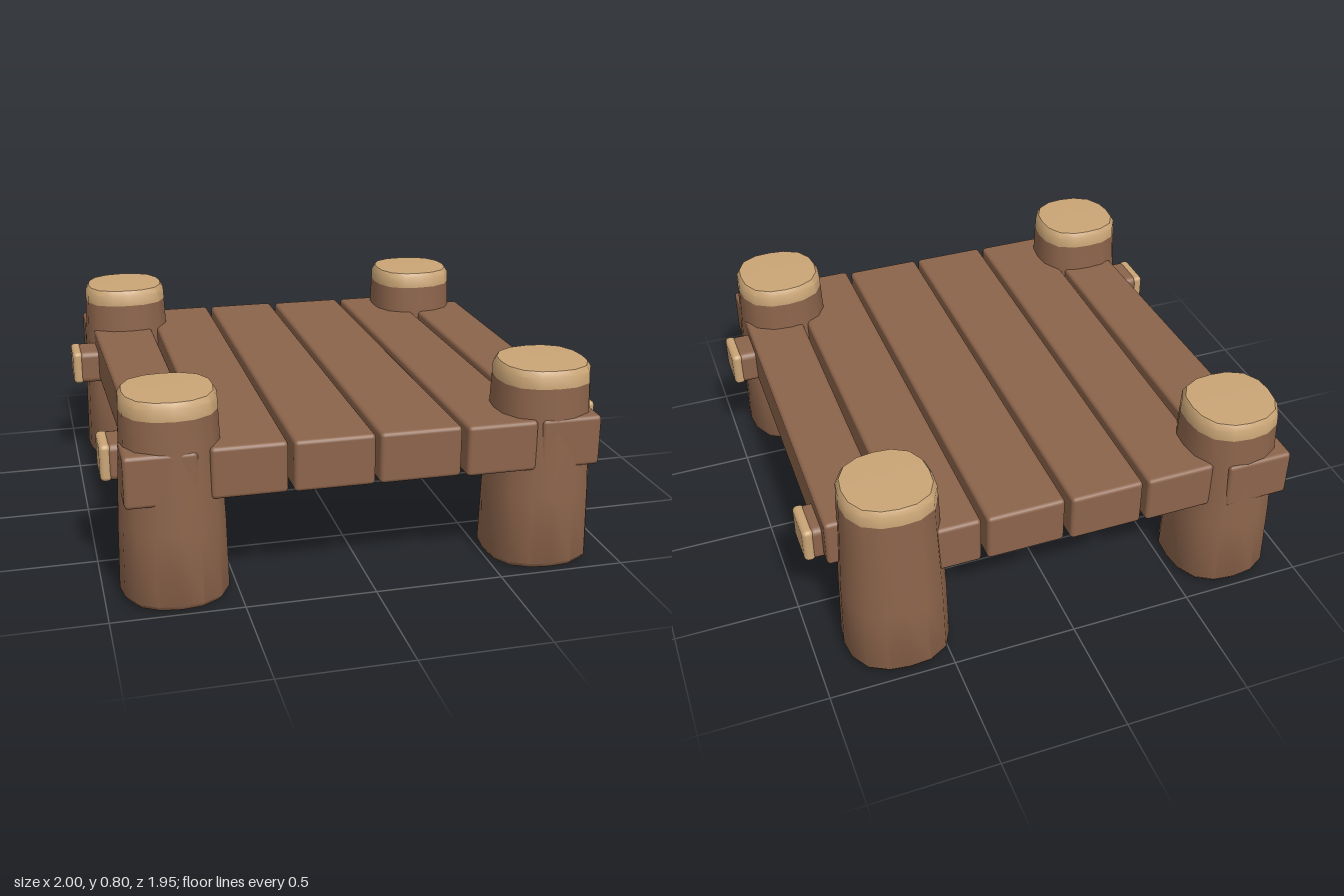
import * as THREE from 'three';
import { toCreasedNormals } from 'three/addons/utils/BufferGeometryUtils.js';
import { RoundedBoxGeometry } from 'three/addons/geometries/RoundedBoxGeometry.js';

const bark = new THREE.MeshStandardMaterial({ color: 0x8c644b });
bark.name = 'brown wood';
const cutWood = new THREE.MeshStandardMaterial({ color: 0xcaa576 });
cutWood.name = 'pale cut wood';

function addMesh(parent, name, geometry, material) {
  const mesh = new THREE.Mesh(geometry, material);
  mesh.name = name;
  parent.add(mesh);
  return mesh;
}

// Lathed log section pushed slightly towards a square, with a hewn wobble
function logGeometry(profile, seed) {
  const g = new THREE.LatheGeometry(profile.map(([r, y]) => new THREE.Vector2(r, y)), 16);
  const p = g.attributes.position;
  for (let i = 0; i < p.count; i++) {
    const x = p.getX(i), z = p.getZ(i);
    const a = Math.atan2(z, x);
    const k = 1 - 0.035 * Math.cos(4 * a) + 0.012 * Math.sin(3 * a + seed);
    p.setX(i, x * k);
    p.setZ(i, z * k);
  }
  return toCreasedNormals(g, 0.7);
}

// Plank whose left and right edges differ between back and front ends
function plankGeometry([backL, backR], [frontL, frontR], z0, z1, y0 = 0.412, y1 = 0.612) {
  const g = new RoundedBoxGeometry(1, y1 - y0, z1 - z0, 2, 0.016);
  const p = g.attributes.position;
  for (let i = 0; i < p.count; i++) {
    const t = p.getZ(i) / (z1 - z0) + 0.5;
    const left = THREE.MathUtils.lerp(backL, frontL, t);
    const right = THREE.MathUtils.lerp(backR, frontR, t);
    // keep the rounded edge at its true width while resizing
    const x = p.getX(i);
    p.setX(i, x < 0 ? left + (x + 0.5) : right + (x - 0.5));
  }
  g.translate(0, (y0 + y1) / 2, (z0 + z1) / 2);
  return g;
}

export function createModel() {
  const model = new THREE.Group();
  model.name = 'woodenPlatform';

  // Corner posts with pale cut tops
  const body = [[0, 0], [0.2, 0], [0.215, 0.02], [0.208, 0.3], [0.193, 0.6], [0.188, 0.73]];
  const cap = [[0.188, 0.73], [0.186, 0.775], [0.172, 0.797], [0, 0.8]];
  const corners = [
    ['backRight', -0.73, -0.765], ['backLeft', 0.67, -0.765],
    ['frontRight', -0.73, 0.768], ['frontLeft', 0.715, 0.768],
  ];
  corners.forEach(([name, x, z], i) => {
    const post = new THREE.Group();
    post.name = name + 'Post';
    post.position.set(x, 0, z);
    addMesh(post, 'postLog', logGeometry(body, i * 1.7), bark);
    addMesh(post, 'postCap', logGeometry(cap, i * 1.7), cutWood);
    model.add(post);
  });

  // Deck planks: back edges, front edges, z range
  const planks = [
    [[-0.895, -0.63], [-0.85, -0.62], -0.9, 0.92],
    [[-0.6, -0.32], [-0.605, -0.32], -0.92, 0.935],
    [[-0.3, -0.005], [-0.3, 0.008], -0.915, 0.94],
    [[0.018, 0.33], [0.025, 0.342], -0.905, 0.94],
    [[0.352, 0.63], [0.36, 0.638], -0.9, 0.955],
    [[0.662, 0.905], [0.655, 0.895], -0.73, 0.955],
  ];
  planks.forEach(([b, f, z0, z1], i) =>
    addMesh(model, 'plank' + (i + 1), plankGeometry(b, f, z0, z1), bark));

  // Wide ends of the outer plank poking past the posts
  for (const s of [-1, 1]) {
    const edges = [-0.92, -0.65];
    const z = s < 0 ? [-0.958, -0.77] : [0.77, 0.955];
    addMesh(model, 'plankEnd', plankGeometry(edges, edges, z[0], z[1]), bark);
  }

  // Pegs through the side planks, with pale ends: side, inner x, outer x, z, y
  const pegs = [
    [-1, 0.8, 1.0, -0.585, 0.475], [-1, 0.8, 0.98, 0.585, 0.48],
    [1, 0.8, 0.978, -0.585, 0.472], [1, 0.8, 1.0, 0.592, 0.49],
  ];
  for (const [side, inner, outer, z, y] of pegs) {
    const peg = new THREE.Group();
    peg.name = 'peg';
    const tip = 0.045;
    const shaft = outer - tip / 2 - inner;
    addMesh(peg, 'pegShaft', new RoundedBoxGeometry(shaft, 0.145, 0.172, 2, 0.025), bark)
      .position.x = side * (inner + shaft / 2);
    addMesh(peg, 'pegEnd', new RoundedBoxGeometry(tip, 0.147, 0.175, 2, 0.018), cutWood)
      .position.x = side * (outer - tip / 2);
    peg.position.set(0, y, z);
    model.add(peg);
  }

  return model;
}
